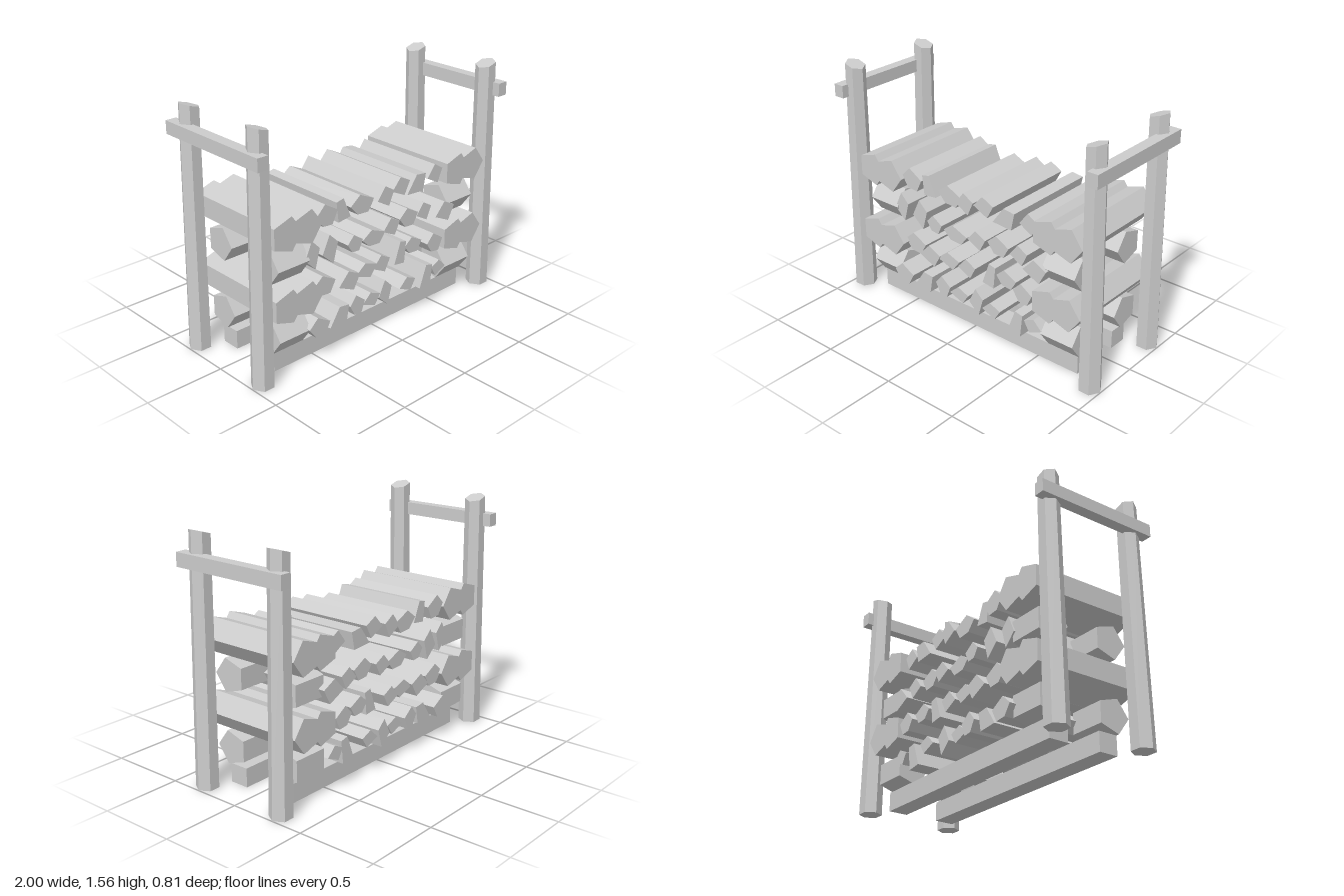
import * as THREE from 'three';

const wood = new THREE.MeshStandardMaterial({ color: 0xcccccc });
wood.name = 'plain wood';

function add(parent, name, geometry) {
  const mesh = new THREE.Mesh(geometry, wood);
  mesh.name = name;
  parent.add(mesh);
  return mesh;
}

// Box given by its lower and upper corners
function box(parent, name, a, b) {
  const mesh = add(parent, name, new THREE.BoxGeometry(b[0] - a[0], b[1] - a[1], b[2] - a[2]));
  mesh.position.set((a[0] + b[0]) / 2, (a[1] + b[1]) / 2, (a[2] + b[2]) / 2);
}

// Prism along z from a list of cross-section points
function prism(points, z0, z1) {
  const shape = new THREE.Shape(points.map(([x, y]) => new THREE.Vector2(x, y)));
  const g = new THREE.ExtrudeGeometry(shape, { depth: z1 - z0, bevelEnabled: false });
  return g.translate(0, 0, z0);
}

// Hexagonal post, leaning inwards, with a sloping sawn top
function postGeometry(height, side) {
  const g = new THREE.CylinderGeometry(0.063, 0.071, height, 6, 1, false, Math.PI / 6).toNonIndexed();
  const p = g.attributes.position;
  for (let i = 0; i < p.count; i++) {
    if (p.getY(i) > 0) {
      p.setY(i, p.getY(i) + side * p.getX(i) * 0.3);
      p.setX(i, p.getX(i) - side * 0.022);
    }
  }
  g.translate(0, height / 2, 0);
  g.computeVertexNormals();
  return g;
}

// Regular pentagon whose point faces +x
const pentagon = Array.from({ length: 5 }, (_, i) => {
  const a = (i * Math.PI * 2) / 5;
  return [0.112 * Math.cos(a), 0.11 * Math.sin(a)];
});

// Split-log cross-sections, each filling a unit square
const SECTIONS = [
  [[-0.5, -0.1], [-0.04, 0.5], [0.5, 0.17], [0.2, -0.5]],
  [[-0.5, 0.05], [-0.1, 0.5], [0.5, 0.08], [0.25, -0.5], [-0.2, -0.45]],
  [[-0.5, -0.42], [0, 0.5], [0.5, 0.42], [0.36, -0.5]],
];

// Split logs per layer: section, x, y, width (negative = mirrored), height
const LAYERS = [
  [
    [1, -0.52, 0.23, 0.16, 0.13], [2, -0.355, 0.232, 0.15, 0.125], [1, -0.2, 0.247, 0.12, 0.135],
    [0, -0.075, 0.23, 0.15, 0.1], [0, 0.055, 0.227, 0.11, 0.175], [0, 0.21, 0.245, 0.14, 0.1],
    [2, 0.39, 0.23, 0.11, 0.16], [0, 0.515, 0.25, -0.13, 0.1],
  ],
  [
    [1, -0.445, 0.46, 0.17, 0.13], [0, -0.285, 0.443, 0.17, 0.135], [0, -0.14, 0.457, 0.18, 0.105],
    [0, 0, 0.45, 0.14, 0.12], [2, 0.17, 0.462, 0.1, 0.155], [1, 0.295, 0.475, 0.15, 0.11],
    [1, 0.45, 0.455, 0.14, 0.13],
  ],
  [
    [0, -0.545, 0.688, 0.11, 0.185], [0, -0.4, 0.675, 0.12, 0.19], [1, -0.24, 0.675, 0.12, 0.11],
    [1, -0.078, 0.658, 0.185, 0.105], [0, 0.08, 0.67, 0.14, 0.12], [1, 0.24, 0.683, 0.16, 0.125],
    [0, 0.385, 0.673, 0.13, 0.125], [0, 0.535, 0.64, 0.17, 0.14],
  ],
  [
    [1, -0.44, 0.91, 0.16, 0.14], [2, -0.305, 0.9, -0.11, 0.14], [1, -0.145, 0.883, 0.19, 0.125],
    [0, 0.007, 0.897, 0.135, 0.135], [0, 0.145, 0.917, 0.15, 0.125], [2, 0.29, 0.89, 0.16, 0.12],
    [0, 0.465, 0.905, 0.13, 0.13],
  ],
];

export function createModel() {
  const model = new THREE.Group();
  model.name = 'firewoodRack';

  // Ground beams
  box(model, 'frontBeam', [-0.79, 0, 0.11], [0.79, 0.12, 0.235]);
  box(model, 'backBeam', [-0.79, 0, -0.235], [0.79, 0.12, -0.11]);

  // Corner posts
  const posts = [[-1, 0.298, 1.54], [-1, -0.297, 1.52], [1, 0.298, 1.52], [1, -0.292, 1.505]];
  for (const [side, z, height] of posts) {
    const post = add(model, 'cornerPost', postGeometry(height, side));
    post.position.set(side * 0.927, 0, z);
  }

  // Upper side rails
  box(model, 'rightRail', [-0.99, 1.34, -0.405], [-0.92, 1.42, 0.4]);
  box(model, 'leftRail', [0.92, 1.32, -0.387], [0.99, 1.405, 0.402]);

  LAYERS.forEach((logs, row) => {
    const layer = new THREE.Group();
    layer.name = 'logLayer' + (row + 1);
    model.add(layer);

    // Split logs, cut to slightly uneven lengths
    logs.forEach(([section, x, y, w, h], i) => {
      const points = SECTIONS[section].map(([u, v]) => [x + u * w, y + v * h]);
      const k = (i * 3 + row * 2) % 5;
      add(layer, 'splitLog', prism(points, -0.345 + k * 0.008, 0.335 - ((k * 2) % 5) * 0.01));
    });

    const y = 0.228 + row * 0.223;
    if (row % 2) {
      // End logs running front to back, in overlapping pairs
      for (const x of [-0.76, -0.615, 0.622, 0.76]) {
        add(layer, 'endLog', prism(pentagon, -0.352, 0.345)).position.set(x, y, 0);
      }
    } else {
      // Short end logs running side to side
      const points = pentagon.map(([u, v]) => [-u, v]);
      for (const x of [-0.69, 0.69]) {
        for (const z of [0.205, -0.212]) {
          const log = add(layer, 'crossLog', prism(points, -0.115, 0.115));
          log.rotation.y = Math.PI / 2;
          log.position.set(x, y, z);
        }
      }
    }
  });
  return model;
}
